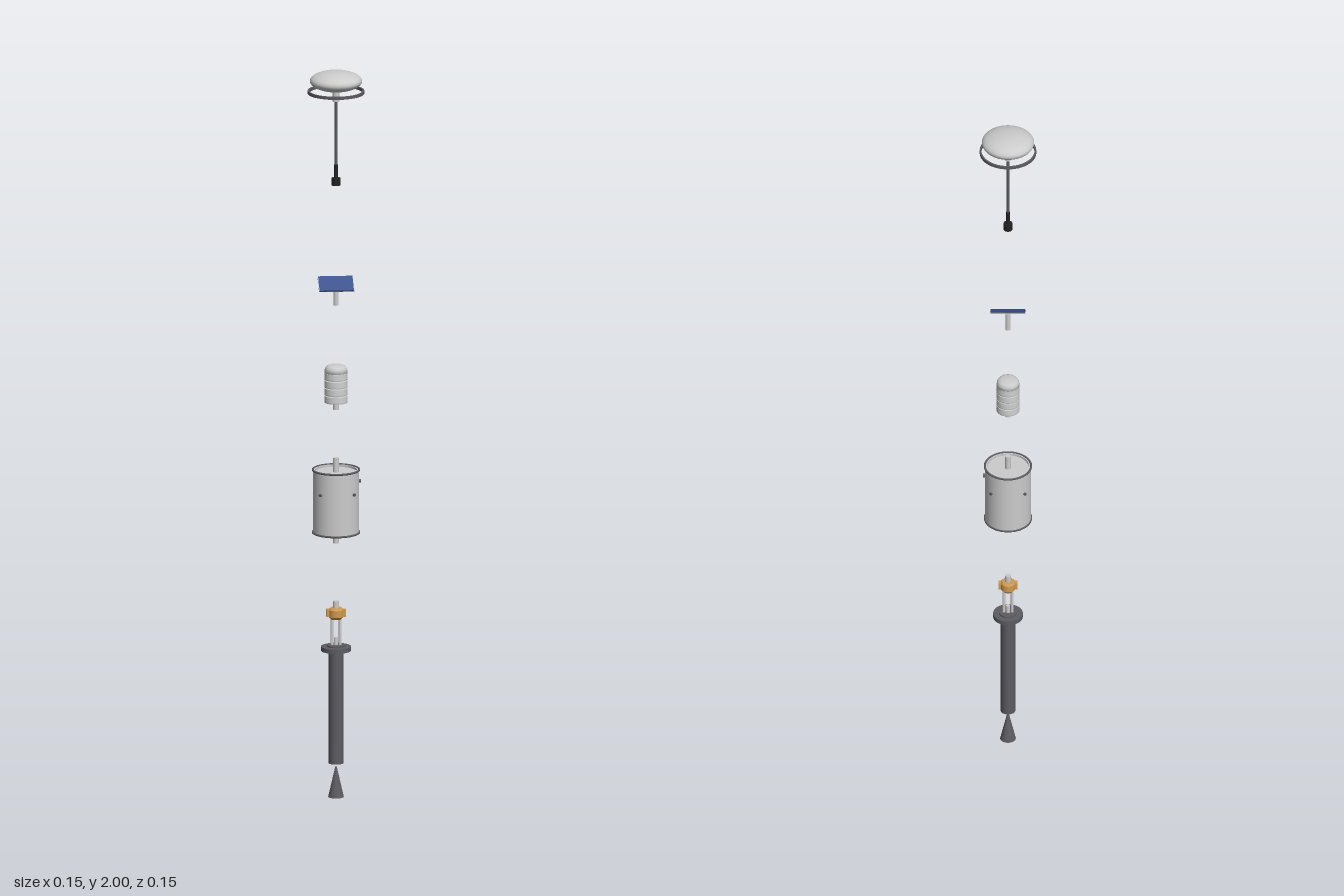
import * as THREE from 'three';

const mat = (color, side = THREE.FrontSide) => new THREE.MeshStandardMaterial({ color, side });
const grey = mat(0xcccccc);
const dark = mat(0x5c5c62);
const black = mat(0x222224);
const white = mat(0xf2f2f2);
const orange = mat(0xd09a50);
const blue = mat(0x3f5590);

function add(parent, name, geometry, material, x = 0, y = 0, z = 0) {
  const mesh = new THREE.Mesh(geometry, material);
  mesh.name = name;
  mesh.position.set(x, y, z);
  parent.add(mesh);
  return mesh;
}

// Upright cylinder from y0 to y1
function rod(parent, name, material, r, y0, y1, x = 0, z = 0, rTop = r, sides = 32) {
  return add(parent, name, new THREE.CylinderGeometry(rTop, r, y1 - y0, sides), material, x, (y0 + y1) / 2, z);
}

// Turned part with crisp corners: each profile segment is its own lathe
function turned(parent, name, material, points) {
  const group = new THREE.Group();
  group.name = name;
  for (let i = 0; i < points.length - 1; i++) {
    const pair = [points[i], points[i + 1]].map(([r, y]) => new THREE.Vector2(r, y));
    add(group, name + 'Face', new THREE.LatheGeometry(pair, 48), material);
  }
  parent.add(group);
  return group;
}

function section(parent, name) {
  const g = new THREE.Group();
  g.name = name;
  parent.add(g);
  return g;
}

export function createModel() {
  const model = new THREE.Group();
  model.name = 'explodedBuoy';

  // Ground spike and long tube with flange
  const mast = section(model, 'mast');
  rod(mast, 'tipCone', dark, 0.021, 0, 0.083, 0, 0, 0.002);
  rod(mast, 'tube', dark, 0.02, 0.093, 0.405);
  rod(mast, 'flange', dark, 0.04, 0.403, 0.415);
  rod(mast, 'flangeCollar', dark, 0.024, 0.415, 0.419);
  rod(mast, 'centreStub', grey, 0.006, 0.415, 0.44);

  // Orange head carried on two rods
  const head = section(model, 'sensorHead');
  for (const s of [-1, 1]) {
    rod(head, 'supportRod', grey, 0.004, 0.415, 0.5, s * 0.011, 0, 0.004, 16);
    add(head, 'headEar', new THREE.BoxGeometry(0.012, 0.02, 0.014), orange, s * 0.02, 0.507, 0);
  }
  rod(head, 'headBase', orange, 0.014, 0.49, 0.497, 0, 0, 0.02);
  rod(head, 'headBody', orange, 0.02, 0.497, 0.516);
  rod(head, 'headTop', orange, 0.02, 0.516, 0.521, 0, 0, 0.016);
  rod(head, 'headShaft', grey, 0.008, 0.521, 0.54);

  // Drum with rims, stubs and side ports
  const drum = section(model, 'drum');
  turned(drum, 'drumShell', grey, [
    [0, 0.728], [0.062, 0.728], [0.062, 0.902], [0.056, 0.902], [0.056, 0.896], [0, 0.896],
  ]);
  for (const y of [0.73, 0.902]) {
    const rim = add(drum, 'drumRim', new THREE.TorusGeometry(0.062, 0.0028, 10, 64), dark, 0, y, 0);
    rim.rotation.x = Math.PI / 2;
  }
  rod(drum, 'topStub', grey, 0.008, 0.896, 0.935);
  rod(drum, 'bottomStub', grey, 0.008, 0.7, 0.728);
  const port = (angle, y, r) => {
    const m = add(drum, 'sidePort', new THREE.CylinderGeometry(r, r, 0.008, 16), dark,
      Math.cos(angle) * 0.063, y, Math.sin(angle) * 0.063);
    m.rotation.set(0, -angle, Math.PI / 2);
  };
  for (let i = 0; i < 4; i++) port(Math.PI / 4 + i * Math.PI / 2, 0.842, 0.004);
  port(0, 0.87, 0.005);

  // Ribbed shield with a domed cap
  const shield = section(model, 'ribbedShield');
  rod(shield, 'shieldCore', grey, 0.025, 1.088, 1.17);
  for (let i = 0; i < 4; i++) {
    const y = 1.088 + i * 0.021;
    turned(shield, 'shieldRib', grey, [
      [0.025, y], [0.031, y], [0.0315, y + 0.003], [0.0305, y + 0.018], [0.025, y + 0.019],
    ]);
  }
  const cap = [[0.025, 1.169], [0.031, 1.17], [0.03, 1.18], [0.026, 1.187], [0.018, 1.19], [0, 1.191]];
  add(shield, 'shieldCap', new THREE.LatheGeometry(cap.map(p => new THREE.Vector2(...p)), 48), grey);
  rod(shield, 'shieldStub', grey, 0.008, 1.068, 1.088);

  // Tilted panel on a post
  const solar = section(model, 'solarUnit');
  rod(solar, 'panelPost', grey, 0.007, 1.355, 1.408);
  const panel = section(solar, 'panel');
  panel.position.set(0, 1.414, 0);
  panel.rotation.x = 0.5;
  add(panel, 'panelBack', new THREE.BoxGeometry(0.094, 0.002, 0.06), dark, 0, -0.001, 0);
  add(panel, 'panelFace', new THREE.BoxGeometry(0.092, 0.002, 0.058), blue, 0, 0.001, 0);
  for (const s of [-1, 1]) {
    add(panel, 'panelRail', new THREE.BoxGeometry(0.0015, 0.003, 0.06), white, s * 0.047, 0.0005, 0);
  }

  // Domed top with open ring below
  const top = section(model, 'topUnit');
  const dome = add(top, 'dome', new THREE.SphereGeometry(1, 48, 28), white, 0, 1.973, 0);
  dome.scale.set(0.07, 0.027, 0.07);
  turned(top, 'ring', dark, [
    [0.071, 1.939], [0.076, 1.939], [0.076, 1.947], [0.071, 1.947], [0.071, 1.939],
  ]);

  // Hanging probe
  rod(top, 'hangerStub', grey, 0.009, 1.917, 1.95);
  rod(top, 'probeRod', dark, 0.0035, 1.735, 1.92, 0, 0, 0.0035, 16);
  rod(top, 'probeSleeve', black, 0.006, 1.703, 1.743, 0, 0, 0.005, 20);
  rod(top, 'probeWeight', black, 0.012, 1.686, 1.706);
  return model;
}
